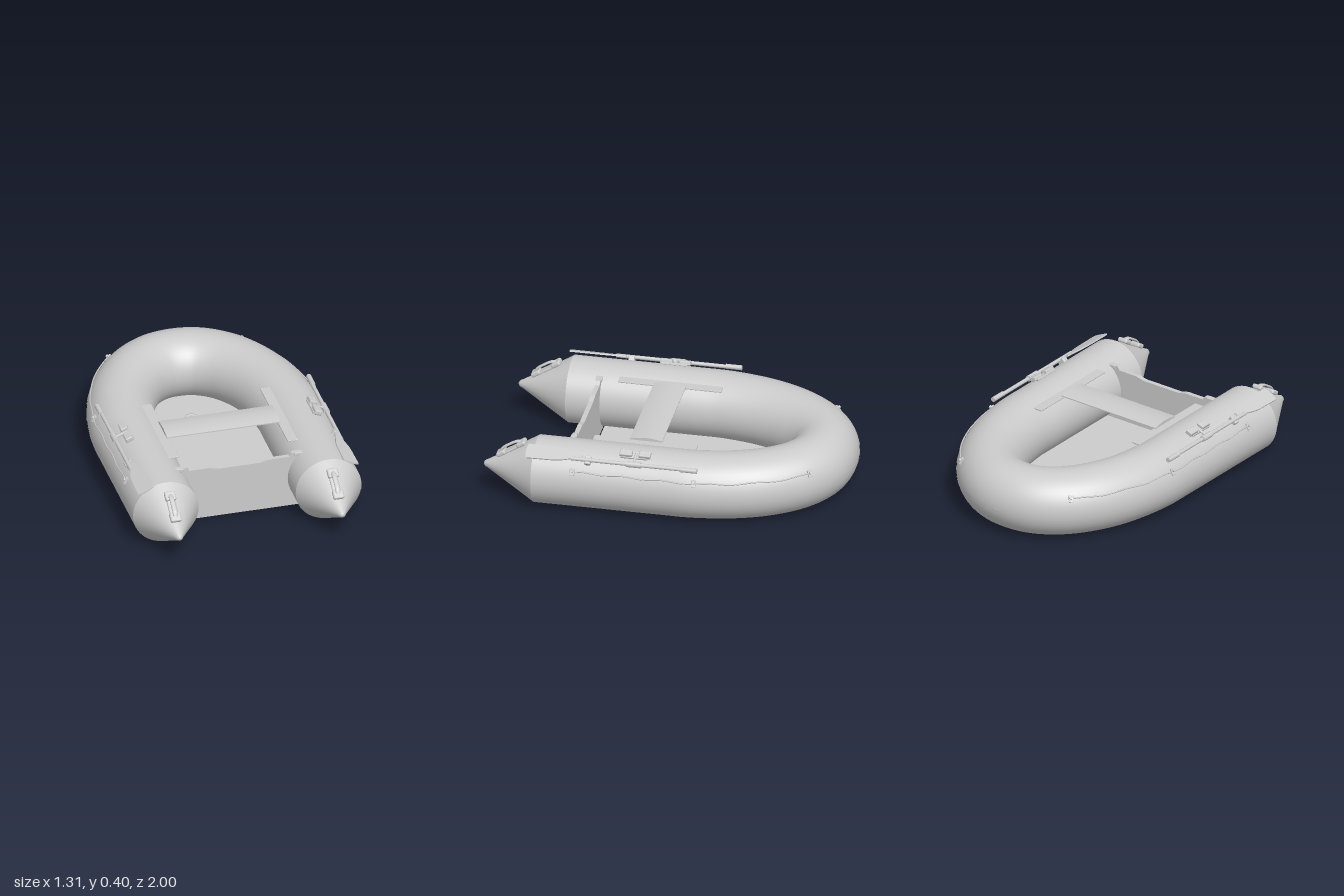
import * as THREE from 'three';
import { ParametricGeometry } from 'three/addons/geometries/ParametricGeometry.js';
import { RoundedBoxGeometry } from 'three/addons/geometries/RoundedBoxGeometry.js';

const R = 0.187, CX = 0.463, STERN = 0.7;
const V = (x, y, z) => new THREE.Vector3(x, y, z);

// U-shaped centre line of the buoyancy tube, left stern -> bow -> right stern
const half = [[CX, STERN], [CX, 0.3], [CX, 0], [0.46, -0.18], [0.42, -0.4], [0.35, -0.57], [0.245, -0.71], [0.12, -0.792]];
const path = new THREE.CatmullRomCurve3([
  ...half.map(([x, z]) => V(x, R, z)), V(0, R, -0.813),
  ...half.slice().reverse().map(([x, z]) => V(-x, R, z)),
]);
path.arcLengthDivisions = 600;

// Point on the tube: u along the centre line, a = angle above the outer side
function onTube(u, a, r = R) {
  const c = path.getPointAt(u), t = path.getTangentAt(u);
  return V(c.x - t.z * r * Math.cos(a), c.y + r * Math.sin(a), c.z + t.x * r * Math.cos(a));
}
// u on the left half where the outer surface reaches the given z
function uAtZ(z, a) {
  let lo = 0, hi = 0.5;
  for (let i = 0; i < 30; i++) {
    const m = (lo + hi) / 2;
    if (onTube(m, a).z > z) lo = m; else hi = m;
  }
  return lo;
}
function sweep(a0, a1, r, nu, na) {
  return new ParametricGeometry((u, v, p) => p.copy(onTube(u, a0 + (a1 - a0) * v, r)), nu, na);
}

export function createModel() {
  const boat = new THREE.Group();
  boat.name = 'inflatableBoat';
  const mat = new THREE.MeshStandardMaterial({ color: 0xcccccc });
  const thin = new THREE.MeshStandardMaterial({ color: 0xcccccc, side: THREE.DoubleSide });

  function add(name, geo, x = 0, y = 0, z = 0, parent = boat, material = mat) {
    const m = new THREE.Mesh(geo, material);
    m.name = name;
    m.position.set(x, y, z);
    parent.add(m);
    return m;
  }
  const box = (w, h, d, r = 0.003) => new RoundedBoxGeometry(w, h, d, 2, r);
  const rod = (r, len) => new THREE.CylinderGeometry(r, r, len, 16).rotateX(Math.PI / 2);

  // Main tube and rubbing strake round its outside
  add('buoyancyTube', sweep(0, Math.PI * 2, R, 140, 48));
  for (const a of [-0.17, 0.02]) add('rubbingStrake', sweep(a, a + 0.07, R + 0.002, 140, 2), 0, 0, 0, boat, thin);

  // Floor, its outline tucked inside the tube
  const outline = [];
  for (let i = 0; i <= 120; i++) {
    const p = path.getPointAt(i / 120);
    if (p.z < 0.52) outline.push(new THREE.Vector2(p.x, -p.z));
  }
  add('floor', new THREE.ExtrudeGeometry(new THREE.Shape(outline), { depth: 0.014, bevelEnabled: false }).rotateX(-Math.PI / 2), 0, 0.014, 0);

  // Floor valve
  const valve = [[0, 0.016], [0.012, 0.016], [0.014, 0.01], [0.026, 0.01], [0.03, 0.014], [0.036, 0.014], [0.044, 0]];
  add('floorValve', new THREE.LatheGeometry(valve.map(([x, y]) => new THREE.Vector2(x, y)).reverse(), 32), 0, 0.028, -0.46);

  // Transom with a lowered middle for the motor
  const top = [[0.33, 0.342], [0.3, 0.342], [0.285, 0.322], [0.17, 0.322], [0.12, 0.31]];
  const board = new THREE.Shape();
  board.moveTo(-0.38, 0.012).lineTo(0.38, 0.012).lineTo(0.38, 0.25);
  top.forEach(([x, y]) => board.lineTo(x, y));
  top.slice().reverse().forEach(([x, y]) => board.lineTo(-x, y));
  board.lineTo(-0.38, 0.25);
  add('transom', new THREE.ExtrudeGeometry(board, { depth: 0.026, bevelEnabled: false }), 0, 0, 0.508);

  // Bench, slightly crowned across its width
  const seat = new THREE.Shape();
  seat.moveTo(-0.09, 0).lineTo(0.09, 0).lineTo(0.09, 0.006);
  seat.quadraticCurveTo(0, 0.03, -0.09, 0.006);
  add('bench', new THREE.ExtrudeGeometry(seat, { depth: 0.646, bevelEnabled: false, curveSegments: 12 })
    .translate(0, 0, -0.323).rotateY(Math.PI / 2), 0, 0.347, 0.12);

  // Bow towing patch
  const patch = add('bowPatch', new THREE.SphereGeometry(1, 24, 12), 0, R - 0.01, -0.995);
  patch.scale.set(0.035, 0.018, 0.005);

  for (const s of [1, -1]) {
    const side = new THREE.Group();
    side.name = s > 0 ? 'leftFittings' : 'rightFittings';
    boat.add(side);

    // Stern cone with a blunt tip
    const cone = [[R, 0], [0.026, 0.272], [0.019, 0.288], [0.01, 0.297], [0, 0.3]];
    add('sternCone', new THREE.LatheGeometry(cone.map(([r, y]) => new THREE.Vector2(r, y)), 48).rotateX(Math.PI / 2), s * CX, R, STERN, side);

    // Carrying handle lying on the cone
    const handle = new THREE.Group();
    handle.name = 'sternHandle';
    handle.position.set(s * CX, 0.292, 0.838);
    handle.rotation.x = Math.atan2(R, 0.3);
    side.add(handle);
    add('handleBase', box(0.05, 0.014, 0.17, 0.006), 0, 0.004, 0, handle);
    for (const z of [-0.066, 0.066]) add('handleMount', box(0.062, 0.026, 0.056, 0.01), 0, 0.011, z, handle);
    const grip = new THREE.CatmullRomCurve3([V(0, 0.018, -0.07), V(0, 0.03, -0.045), V(0, 0.033, 0), V(0, 0.03, 0.045), V(0, 0.018, 0.07)]);
    const bar = add('handleGrip', new THREE.TubeGeometry(grip, 20, 0.007, 10), 0, 0, 0, handle);
    bar.scale.x = 2;

    // Flap that carries the bench
    add('benchRail', box(0.06, 0.008, 0.58, 0.002), s * 0.34, 0.343, 0.12, side);
    // Brace where the transom meets the tube
    add('transomBrace', box(0.05, 0.02, 0.034), s * 0.34, 0.332, 0.521, side);

    // Oar
    add('oarShaft', rod(0.011, 0.7), s * 0.599, 0.346, 0.13, side);
    add('oarGrip', rod(0.014, 0.09), s * 0.602, 0.346, -0.18, side);
    const blade = new THREE.Shape();
    blade.moveTo(-0.011, -0.16).lineTo(0.011, -0.16);
    blade.bezierCurveTo(0.02, -0.09, 0.042, -0.06, 0.044, 0).lineTo(0.047, 0.15);
    blade.quadraticCurveTo(0, 0.165, -0.047, 0.15).lineTo(-0.044, 0);
    blade.bezierCurveTo(-0.042, -0.06, -0.02, -0.09, -0.011, -0.16);
    const b = add('oarBlade', new THREE.ExtrudeGeometry(blade, { depth: 0.008, bevelEnabled: false, curveSegments: 10 })
      .translate(0, 0, -0.004).rotateX(Math.PI / 2), s * 0.583, 0.356, 0.58, side);
    b.rotation.z = -s * 0.45;

    // Oarlock: pad, blocks and pin
    const lock = new THREE.Group();
    lock.name = 'oarlock';
    lock.position.set(s * 0.533, 0.368, 0.13);
    lock.rotation.z = -s * 0.38;
    side.add(lock);
    add('lockPad', box(0.05, 0.012, 0.15), 0, 0, 0.01, lock);
    add('lockBlock', box(0.042, 0.026, 0.065, 0.006), 0, 0.011, -0.05, lock);
    add('lockBlock', box(0.042, 0.026, 0.07, 0.006), 0, 0.011, 0.055, lock);
    add('lockPin', new THREE.CylinderGeometry(0.007, 0.007, 0.09, 12).rotateZ(Math.PI / 2), s * 0.035, 0.008, 0, lock);
    add('oarCollar', rod(0.017, 0.08), s * 0.599, 0.346, 0.13, side);

    // Clip holding the oar
    const clip = add('oarClip', box(0.05, 0.035, 0.034, 0.006), s * 0.588, 0.336, 0.39, side);
    clip.rotation.z = -s * 0.75;

    // Grab line sagging gently between its three cleats
    const A = 0.5, mirror = u => (s > 0 ? u : 1 - u);
    const stops = [0.47, -0.21, -0.81].map(z => uAtZ(z, A));
    const pts = [];
    for (let i = 0; i <= 40; i++) {
      const f = i / 40, u = stops[0] + (stops[2] - stops[0]) * f;
      pts.push(onTube(mirror(u), A + 0.02 * Math.sin(f * 34), R + 0.004));
    }
    add('grabLine', new THREE.TubeGeometry(new THREE.CatmullRomCurve3(pts), 120, 0.004, 6), 0, 0, 0, side);
    for (const u of stops) {
      const p = onTube(mirror(u), A, R + 0.003), c = path.getPointAt(mirror(u));
      const cleat = add('lineCleat', box(0.026, 0.04, 0.014), p.x, p.y, p.z, side);
      cleat.lookAt(p.clone().multiplyScalar(2).sub(c));
      const knob = add('lineCleatKnob', new THREE.CylinderGeometry(0.008, 0.01, 0.016, 12).rotateX(Math.PI / 2), 0, 0, 0.008, cleat);
      knob.position.y = 0.004;
    }
  }
  return boat;
}
